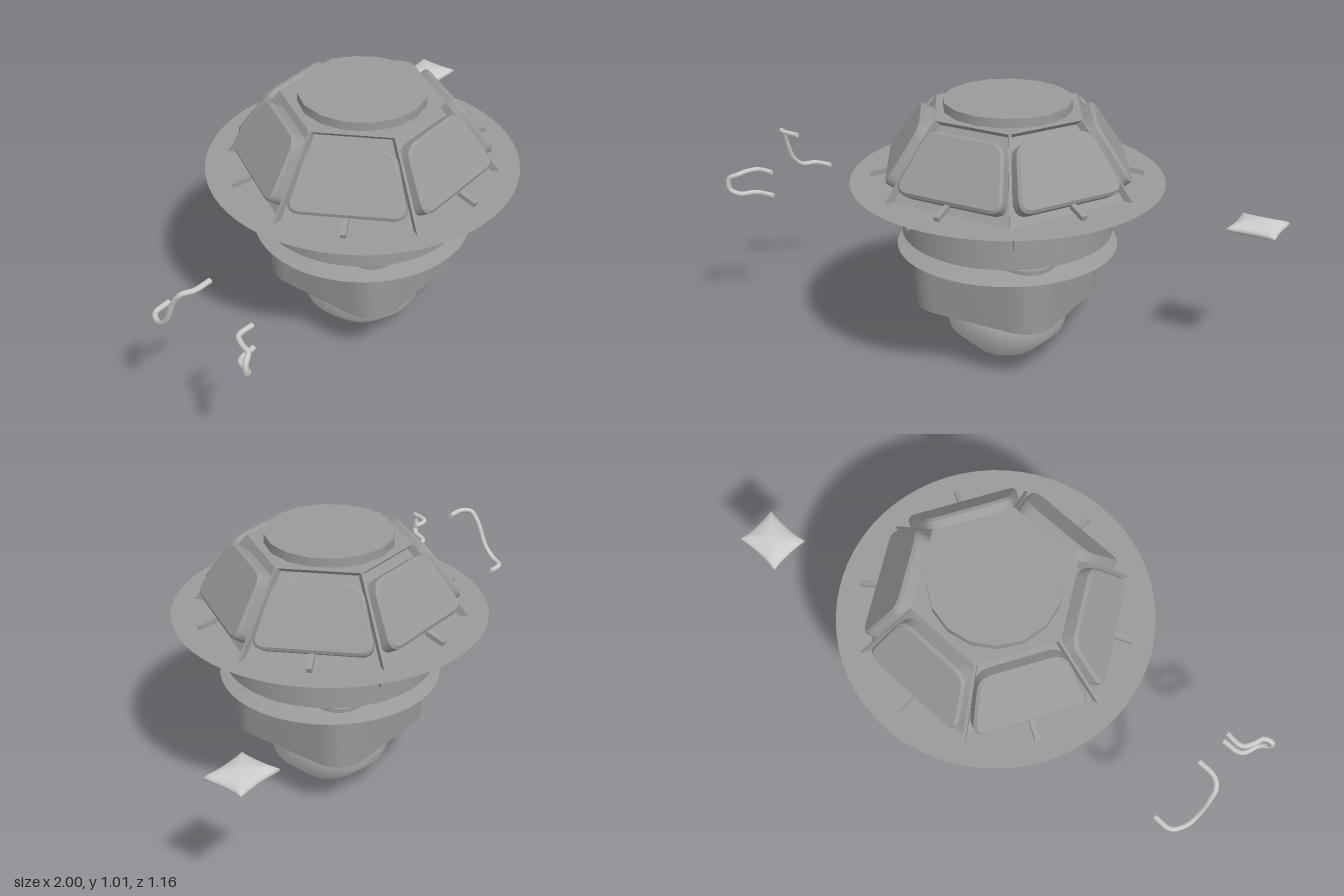
import * as THREE from 'three';
import { toCreasedNormals } from 'three/addons/utils/BufferGeometryUtils.js';

const light = new THREE.MeshStandardMaterial({ color: 0xcccccc, side: THREE.DoubleSide });
const dark = new THREE.MeshStandardMaterial({ color: 0x9a9a9a, side: THREE.DoubleSide });
const darkFlat = new THREE.MeshStandardMaterial({ color: 0x9a9a9a, flatShading: true });

function add(parent, name, geometry, material = dark) {
  const mesh = new THREE.Mesh(geometry, material);
  mesh.name = name;
  parent.add(mesh);
  return mesh;
}

// Closed outline through the corners, each one rounded by r
function roundedShape(corners, r) {
  const pts = corners.map(([x, y]) => new THREE.Vector2(x, y));
  const shape = new THREE.Shape();
  pts.forEach((p, i) => {
    const prev = pts[(i + pts.length - 1) % pts.length];
    const next = pts[(i + 1) % pts.length];
    const a = prev.clone().sub(p).setLength(r).add(p);
    const b = next.clone().sub(p).setLength(r).add(p);
    if (i === 0) shape.moveTo(a.x, a.y);
    else shape.lineTo(a.x, a.y);
    shape.quadraticCurveTo(p.x, p.y, b.x, b.y);
  });
  shape.closePath();
  return shape;
}

function lathe(points, segments, crease) {
  const profile = points.map(([r, y]) => new THREE.Vector2(r, y));
  return toCreasedNormals(new THREE.LatheGeometry(profile, segments), crease);
}

function rail(parent, name, points) {
  const curve = new THREE.CatmullRomCurve3(points.map(p => new THREE.Vector3(...p)), false, 'centripetal');
  add(parent, name, new THREE.TubeGeometry(curve, 40, 0.01, 8), light);
  // Closed tube ends
  [points[0], points[points.length - 1]].forEach(p => {
    const cap = add(parent, name + 'End', new THREE.CircleGeometry(0.01, 8), light);
    cap.position.set(...p);
    cap.rotation.y = Math.PI / 2;
  });
}

export function createModel() {
  const model = new THREE.Group();
  const body = new THREE.Group();
  body.name = 'body';
  body.position.set(0.047, -0.005, 0);
  model.add(body);

  // Round lower dome
  add(body, 'dome', lathe([[0, 0.005], [0.124, 0.04], [0.218, 0.13], [0.245, 0.24], [0.245, 0.26]], 32, 1.2), light);

  // Rounded square lower housing, slightly narrower at the bottom
  const h = 0.285;
  const housing = new THREE.ExtrudeGeometry(
    roundedShape([[-h, -h], [h, -h], [h, h], [-h, h]], 0.13),
    { depth: 0.255, bevelEnabled: false, curveSegments: 10 });
  housing.rotateX(-Math.PI / 2).translate(0, 0.24, 0);
  const pos = housing.attributes.position;
  for (let i = 0; i < pos.count; i++) {
    const k = pos.getY(i) < 0.3 ? 0.97 : 1;
    pos.setX(i, pos.getX(i) * k);
    pos.setZ(i, pos.getZ(i) * k);
  }
  add(body, 'lowerHousing', toCreasedNormals(housing, 0.6));

  // Neck with thin conical flange
  add(body, 'flange', lathe([[0.41, 0.465], [0.267, 0.5], [0.285, 0.52]], 48, 0.6));

  // Drum
  const drum = add(body, 'drum', toCreasedNormals(new THREE.CylinderGeometry(0.39, 0.39, 0.193, 64), 0.6));
  drum.position.y = 0.6165;

  // Brackets round the drum
  for (let i = 0; i < 6; i++) {
    const arm = new THREE.Group();
    arm.name = 'bracketArm';
    arm.rotation.y = i * Math.PI / 3 + 0.05;
    const bracket = add(arm, 'bracket', new THREE.BoxGeometry(0.07, 0.09, 0.02), darkFlat);
    bracket.position.set(0.403, 0.655, 0);
    body.add(arm);
  }

  // Thin wide skirt disc
  const skirt = add(body, 'skirt', new THREE.CircleGeometry(0.578, 64));
  skirt.rotation.x = -Math.PI / 2;
  skirt.position.y = 0.714;

  // Six-sided window frame, set back behind the corner ribs, with a top lip
  const frame = add(body, 'windowFrame',
    new THREE.CylinderGeometry(0.27, 0.475, 0.27, 6, 1, false, Math.PI / 6), darkFlat);
  frame.position.y = 0.847;
  const lip = add(body, 'topLip',
    new THREE.CylinderGeometry(0.3, 0.28, 0.018, 6, 1, false, Math.PI / 6), darkFlat);
  lip.position.y = 0.977;

  // Thin rib along each corner of the frame
  const ribShape = new THREE.Shape();
  [[0.505, 0.712], [0.3, 0.985], [0.25, 0.985], [0.44, 0.712]]
    .forEach(([x, y], i) => (i ? ribShape.lineTo(x, y) : ribShape.moveTo(x, y)));
  const ribGeometry = new THREE.ExtrudeGeometry(ribShape, { depth: 0.01, bevelEnabled: false });
  ribGeometry.translate(0, 0, -0.005);

  // Window shutters with small levers, one on each side of the frame
  const shutterGeometry = toCreasedNormals(new THREE.ExtrudeGeometry(
    roundedShape([[-0.205, -0.116], [0.205, -0.116], [0.145, 0.108], [-0.145, 0.108]], 0.045),
    { depth: 0.044, bevelThickness: 0.01, bevelSize: 0.01, bevelSegments: 1, curveSegments: 5 }), 0.5);
  shutterGeometry.translate(0, 0, -0.018);

  for (let i = 0; i < 6; i++) {
    const side = new THREE.Group();
    side.name = 'windowSide';
    side.rotation.y = i * Math.PI / 3;
    const shutter = add(side, 'shutter', shutterGeometry);
    shutter.position.set(0, 0.853, 0.344);
    shutter.rotation.x = -0.572;
    const lever = add(side, 'lever', new THREE.BoxGeometry(0.02, 0.018, 0.075), darkFlat);
    lever.position.set(0, 0.742, 0.465);
    lever.rotation.x = 0.27;
    const rib = add(body, 'cornerRib', ribGeometry, darkFlat);
    rib.rotation.y = i * Math.PI / 3;
    body.add(side);
  }

  // Round top hatch
  const hatch = add(body, 'topHatch', toCreasedNormals(new THREE.CylinderGeometry(0.235, 0.235, 0.04, 16), 0.6));
  hatch.position.y = 1;

  // Loose handrails
  const rails = new THREE.Group();
  rails.name = 'handrails';
  rails.position.set(0.004, -0.007, 0);
  model.add(rails);
  rail(rails, 'tallHandrail', [
    [-0.855, 0.555, -0.135], [-0.925, 0.555, -0.13], [-0.957, 0.56, -0.08], [-0.965, 0.6, -0.035],
    [-0.965, 0.7, 0.01], [-0.957, 0.74, 0.04], [-0.925, 0.747, 0.065], [-0.855, 0.747, 0.07]]);
  rail(rails, 'bentHandrail', [
    [-0.855, 0.65, 0.245], [-0.92, 0.65, 0.245], [-0.945, 0.65, 0.28], [-0.96, 0.645, 0.32],
    [-0.99, 0.63, 0.335], [-0.99, 0.585, 0.335], [-0.96, 0.565, 0.315], [-0.93, 0.557, 0.255],
    [-0.855, 0.555, 0.245]]);

  // Loose cushion: a flattened ball pushed out to a square with slightly hollow sides
  const cushionGeometry = new THREE.SphereGeometry(1, 32, 16);
  const c = cushionGeometry.attributes.position;
  for (let i = 0; i < c.count; i++) {
    const x = c.getX(i), z = c.getZ(i);
    const m = Math.max(Math.abs(x), Math.abs(z)) || 1;
    const k = Math.pow(Math.hypot(x, z) / m, 0.9);
    const u = x * k, v = z * k;
    c.setXYZ(i, u * (0.086 + 0.011 * v * v), c.getY(i) * 0.028, v * (0.073 + 0.011 * u * u));
  }
  cushionGeometry.computeVertexNormals();
  const cushion = add(model, 'cushion', cushionGeometry, light);
  cushion.position.set(0.907, 0.571, -0.32);

  return model;
}
